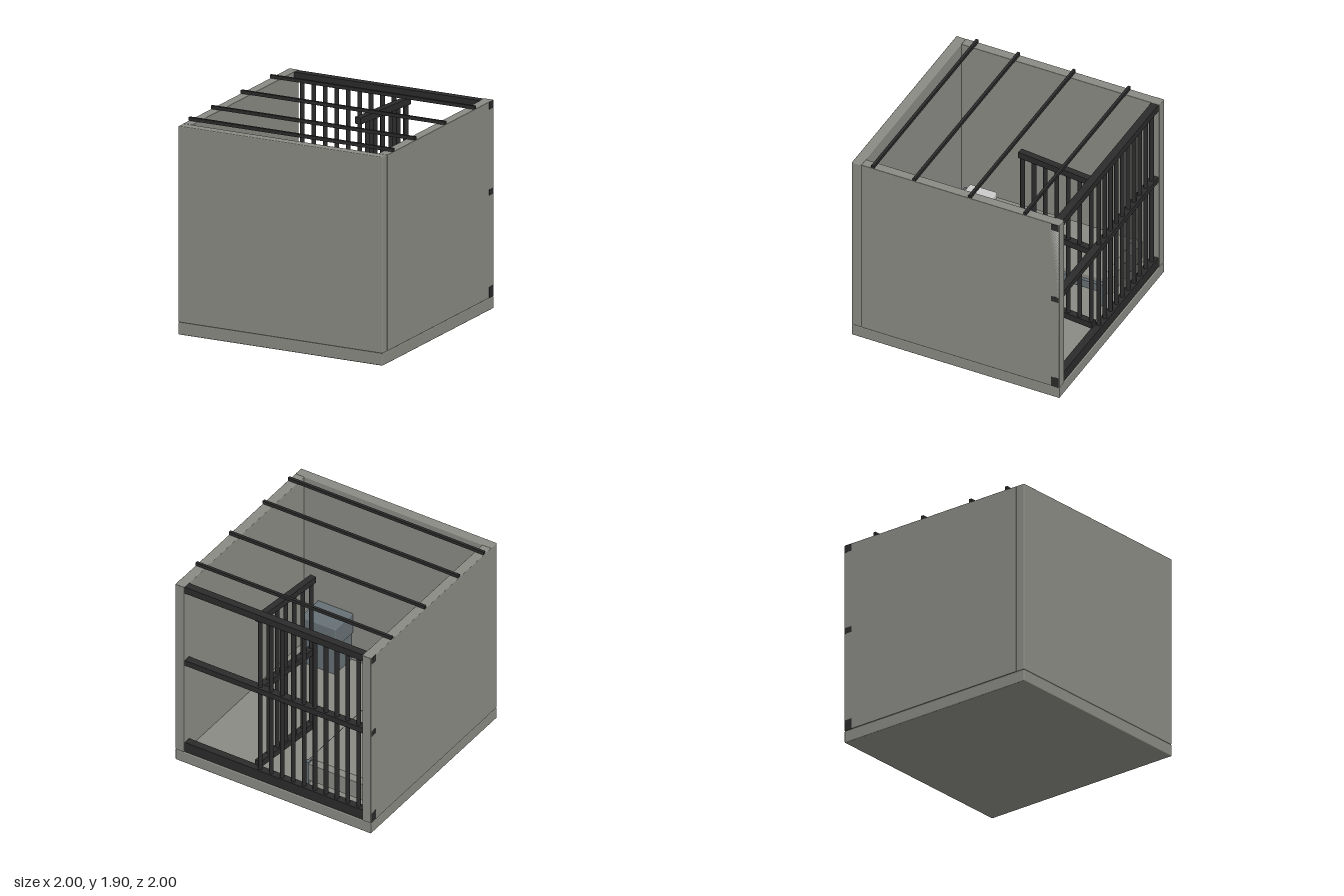
import * as THREE from 'three';
import { RoundedBoxGeometry } from 'three/addons/geometries/RoundedBoxGeometry.js';

export function createModel() {
  const root = new THREE.Group();
  root.name = 'barredCell';

  const mat = (name, color) => {
    const m = new THREE.MeshStandardMaterial({ color });
    m.name = name;
    return m;
  };
  const concrete = mat('concrete', 0x8a8a84);
  const iron = mat('darkIron', 0x2b2b2b);
  const steel = mat('slateSteel', 0x667075);
  const linen = mat('paleLinen', 0xcacaca);

  // Box given by its minimum and maximum corners; r rounds the edges
  function box(name, material, a, b, r = 0, parent = root) {
    const s = a.map((v, i) => b[i] - v);
    const g = r ? new RoundedBoxGeometry(...s, 2, r) : new THREE.BoxGeometry(...s);
    const m = new THREE.Mesh(g, material);
    m.position.set(...a.map((v, i) => (v + b[i]) / 2));
    m.name = name;
    parent.add(m);
    return m;
  }
  // Upright round bar
  function bar(name, x, z, y0, y1, radius, parent = root, material = iron) {
    const m = new THREE.Mesh(new THREE.CylinderGeometry(radius, radius, y1 - y0, 12), material);
    m.position.set(x, (y0 + y1) / 2, z);
    m.name = name;
    parent.add(m);
  }

  // Shell: floor, solid front wall and two side walls
  box('floor', concrete, [-1, 0, -1], [1, 0.11, 1], 0.008);
  box('frontWall', concrete, [-1, 0.11, 0.91], [1, 1.87, 1], 0.008);
  box('rightWall', concrete, [-1, 0.11, -1], [-0.91, 1.87, 0.91], 0.006);
  box('leftWall', concrete, [0.91, 0.11, -1], [1, 1.87, 0.91], 0.006);
  box('doorPost', linen, [0.975, 0.112, -0.995], [1, 1.865, -0.91]);

  // Roof bars
  for (const z of [0.8, 0.4, -0.135, -0.665])
    box('roofBar', iron, [-1, 1.87, z - 0.013], [1, 1.9, z + 0.013]);

  // Barred back: three rails let into the side walls
  for (const [y0, y1] of [[0.11, 0.21], [1.03, 1.085], [1.8, 1.868]])
    box('backRail', iron, [-1.001, y0, -0.99], [1.001, y1, -0.92]);
  for (let i = 0; i < 10; i++) bar('backBar', 0.16 - i * 0.112, -0.955, 0.2, 1.81, 0.02);

  // Door swung inwards on its hinge
  const door = new THREE.Group();
  door.name = 'door';
  door.position.set(0.2, 0, -0.93);
  door.rotation.y = -0.106;
  root.add(door);
  for (const [y0, y1] of [[0.2, 0.26], [0.99, 1.05], [1.74, 1.8]])
    box('doorRail', iron, [-0.03, y0, 0], [0.03, y1, 0.76], 0, door);
  for (let i = 0; i < 7; i++) bar('doorBar', 0, 0.03 + i * 0.117, 0.21, 1.79, 0.02, door);

  // Bed: steel frame and legs, mattress, pillow, folded blanket
  const bed = new THREE.Group();
  bed.name = 'bed';
  root.add(bed);
  for (const x of [-0.88, -0.22]) {
    box('bedSideRail', steel, [x - 0.017, 0.25, -0.8], [x + 0.017, 0.33, 0.87], 0.006, bed);
    for (const z of [-0.79, 0.85])
      box('bedLeg', steel, [x - 0.022, 0.11, z - 0.022], [x + 0.022, 0.34, z + 0.022], 0.005, bed);
  }
  for (const z of [-0.79, 0.857])
    box('bedEndRail', steel, [-0.89, 0.25, z - 0.017], [-0.21, 0.33, z + 0.017], 0.006, bed);
  box('mattress', concrete, [-0.865, 0.26, -0.78], [-0.235, 0.38, 0.84], 0.02, bed);
  box('pillow', linen, [-0.84, 0.38, 0.525], [-0.58, 0.45, 0.79], 0.015, bed);
  box('bedEndPanel', concrete, [-0.87, 0.2, -0.86], [-0.27, 0.37, -0.78], 0, bed);

  // Steel cabinet against the front wall
  box('cabinetBase', steel, [0.43, 0.11, 0.65], [0.75, 0.4, 0.91]);
  box('cabinetTop', steel, [0.41, 0.4, 0.625], [0.77, 0.61, 0.912], 0.012);

  // Stand centred on the ground
  return root;
}
